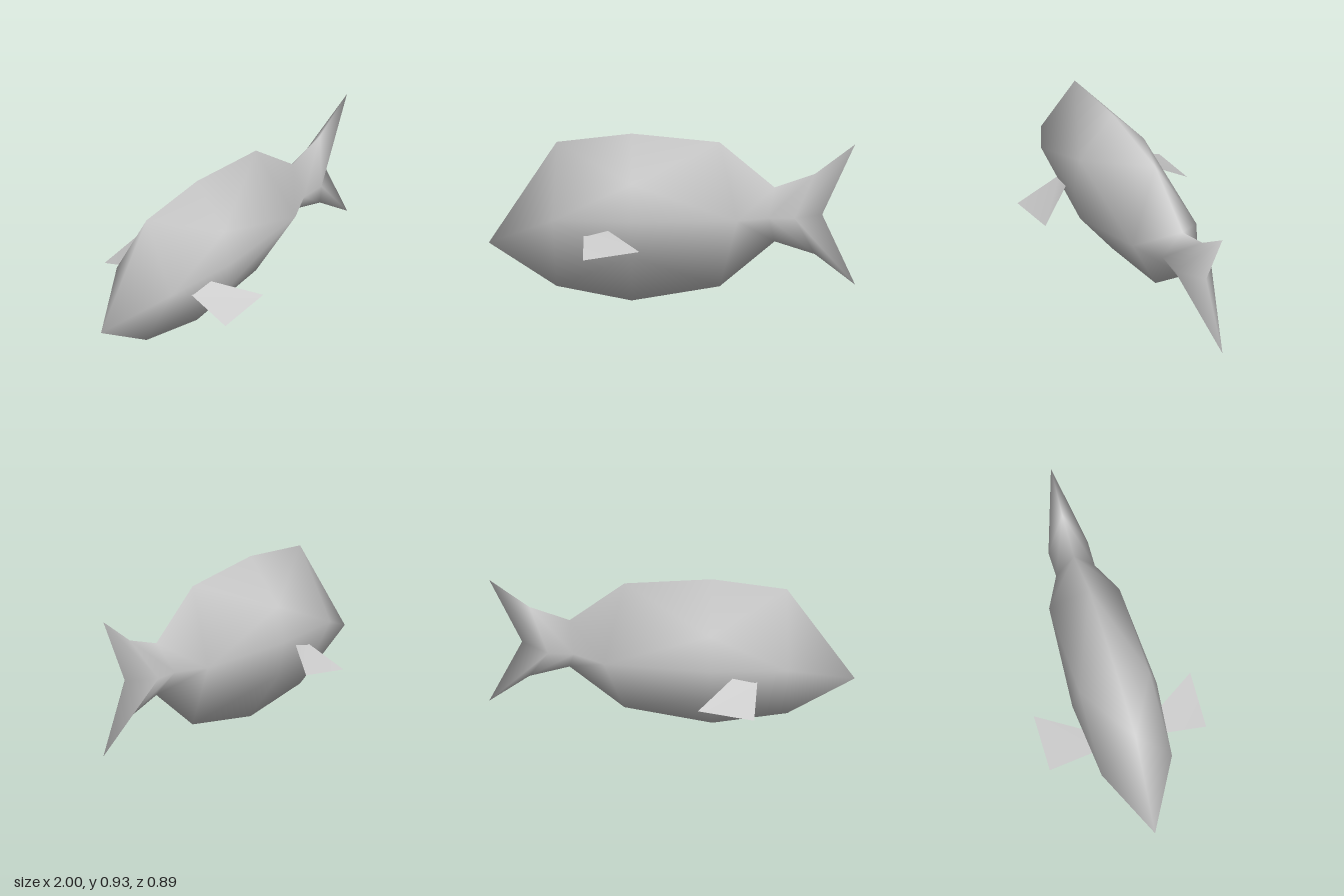
import * as THREE from 'three';
import { mergeVertices } from 'three/addons/utils/BufferGeometryUtils.js';

const grey = new THREE.MeshStandardMaterial({ color: 0xcccccc, side: THREE.DoubleSide });
grey.name = 'plain grey';

const MID = 0.48;

// Eight-point cross-section: ridge, flank, side, flank, keel, then mirrored.
// edge = [x, top, bottom]; side = [x, half width, flank half height, flank half width]
// Without flank values the section is a plain diamond.
function section([ex, top, bottom], [sx, w, h = 0, fw = w]) {
  const ring = [
    [ex, top, 0], [sx, MID + h, fw], [sx, MID, w], [sx, MID - h, fw], [ex, bottom, 0],
  ];
  for (const i of [3, 2, 1]) ring.push([ring[i][0], ring[i][1], -ring[i][2]]);
  return ring;
}

// Body and tail as one smooth closed skin, from nose to forked tail tips
function bodyGeometry() {
  const rings = [
    Array.from({ length: 8 }, () => [-1, 0.32, 0]),       // nose
    section([-0.63, 0.88, 0.08], [-0.65, 0.2]),           // head
    section([-0.22, 0.927, 0], [-0.22, 0.24, 0.2, 0.2]),  // widest
    section([0.26, 0.88, 0.08], [0.36, 0.2]),             // rear body
    section([0.56, 0.63, 0.33], [0.53, 0.11]),            // tail root
    section([0.78, 0.705, 0.26], [0.67, 0.112]),          // tail base
    section([1, 0.87, 0.09], [0.82, 0]),                  // tips and notch
  ];
  const index = [];
  for (let i = 0; i < rings.length - 1; i++) {
    for (let j = 0; j < 8; j++) {
      const a = i * 8 + j, b = i * 8 + (j + 1) % 8, c = b + 8, d = a + 8;
      // Diagonals mirror above and below the middle, and ahead of the widest ring
      if ((j % 4 < 2) === (i > 1)) index.push(a, b, d, b, c, d);
      else index.push(a, b, c, a, c, d);
    }
  }
  let geo = new THREE.BufferGeometry();
  geo.setAttribute('position', new THREE.Float32BufferAttribute(rings.flat(2), 3));
  geo.setIndex(index);
  geo = mergeVertices(geo);
  geo.computeVertexNormals();
  return geo;
}

// Flat side fin, sloping down and outward; s = 1 or -1 for the side
function finGeometry(s) {
  const corners = [
    [-0.48, 0.4, 0.18], [-0.48, 0.305, 0.445], [-0.172, 0.353, 0.445], [-0.375, 0.44, 0.18],
  ].map(([x, y, z]) => [x, y, z * s]);
  const geo = new THREE.BufferGeometry();
  geo.setAttribute('position', new THREE.Float32BufferAttribute(corners.flat(), 3));
  geo.setIndex(s > 0 ? [0, 1, 2, 0, 2, 3] : [0, 2, 1, 0, 3, 2]);
  geo.computeVertexNormals();
  return geo;
}

export function createModel() {
  const fish = new THREE.Group();
  fish.name = 'fish';
  const add = (name, geo) => {
    const mesh = new THREE.Mesh(geo, grey);
    mesh.name = name;
    fish.add(mesh);
  };
  add('bodyAndTail', bodyGeometry());
  add('leftFin', finGeometry(1));
  add('rightFin', finGeometry(-1));
  return fish;
}
